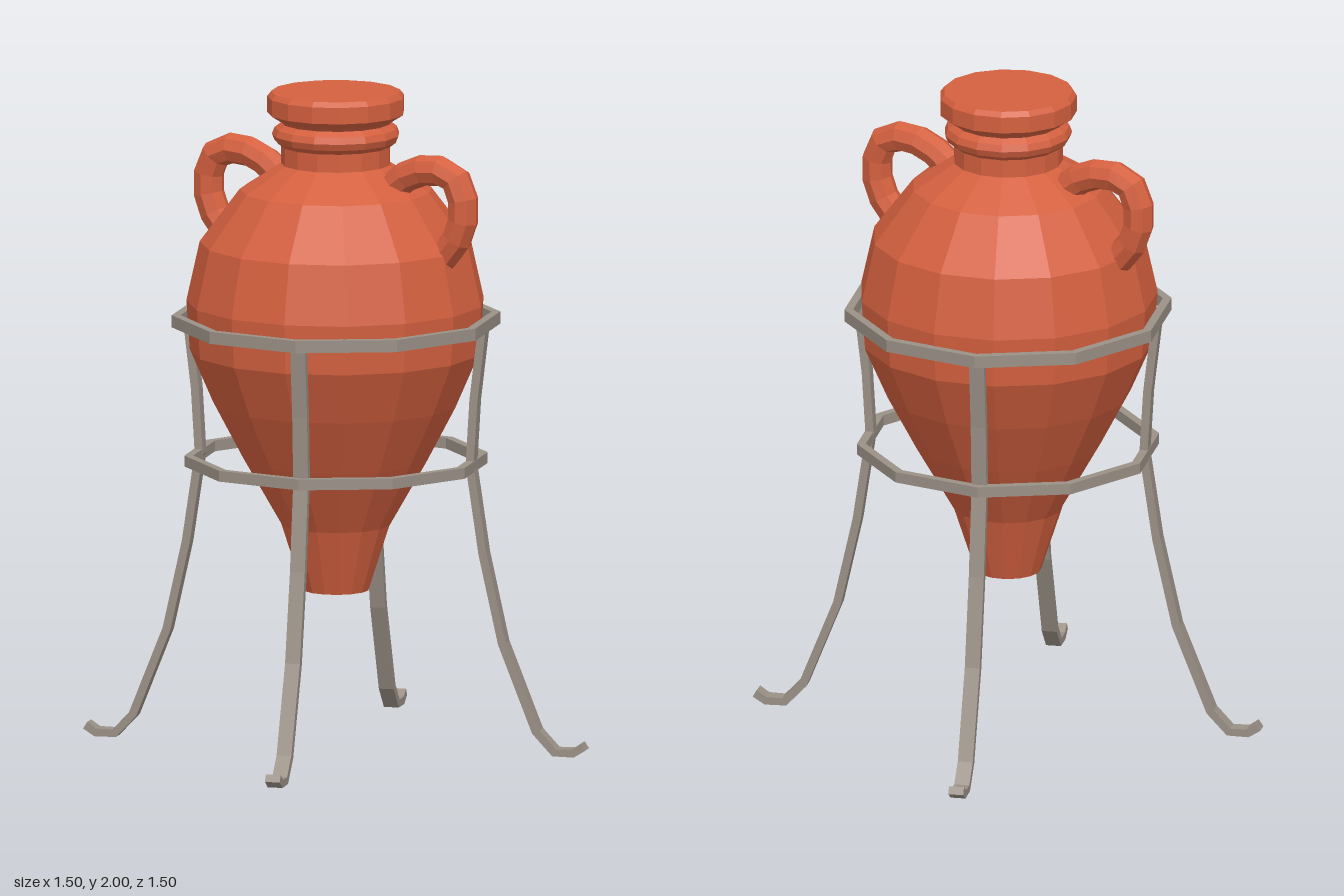
import * as THREE from 'three';

const clay = new THREE.MeshStandardMaterial({ color: 0xd4603f, flatShading: true });
const iron = new THREE.MeshStandardMaterial({ color: 0x9a9086, flatShading: true });

function addMesh(parent, name, geometry, material) {
  const mesh = new THREE.Mesh(geometry, material);
  mesh.name = name;
  parent.add(mesh);
  return mesh;
}

const toVectors = (list) => list.map(([x, y]) => new THREE.Vector2(x, y));

// Square-section hoop with ten straight sides
function hoopGeometry(radius, thickness, bottom, top) {
  const inner = radius - thickness;
  const section = toVectors([
    [inner, bottom], [radius, bottom], [radius, top], [inner, top], [inner, bottom],
  ]);
  return new THREE.LatheGeometry(section, 10, Math.PI / 2);
}

// Flat bar of even thickness following a side profile, centred on z = 0
function barGeometry(path, thickness, width) {
  const outer = [], inner = [];
  path.forEach((p, i) => {
    const before = path[Math.max(i - 1, 0)];
    const after = path[Math.min(i + 1, path.length - 1)];
    const t = after.clone().sub(before).normalize();
    const offset = new THREE.Vector2(-t.y, t.x).multiplyScalar(thickness / 2);
    outer.push(p.clone().add(offset));
    inner.unshift(p.clone().sub(offset));
  });
  const shape = new THREE.Shape([...outer, ...inner]);
  return new THREE.ExtrudeGeometry(shape, { depth: width, bevelEnabled: false })
    .translate(0, 0, -width / 2);
}

export function createModel() {
  const model = new THREE.Group();
  model.name = 'amphoraOnStand';

  // Jar body, collar and closed rim
  const jar = new THREE.Group();
  jar.name = 'jar';
  model.add(jar);
  const profile = toVectors([
    [0, 0.48], [0.1, 0.48], [0.165, 0.68], [0.28, 0.88], [0.37, 1.05],
    [0.44, 1.21], [0.45, 1.36], [0.41, 1.54], [0.29, 1.7], [0.165, 1.78],
    [0.165, 1.835], [0.185, 1.85], [0.193, 1.87], [0.185, 1.89], [0.165, 1.905],
    [0.175, 1.915], [0.207, 1.935], [0.207, 1.985], [0.195, 2], [0, 2],
  ]);
  addMesh(jar, 'jarBody', new THREE.LatheGeometry(profile, 15, Math.PI), clay);

  // Looped handles on both shoulders
  const loop = [
    [0.2, 1.725], [0.27, 1.775], [0.36, 1.793], [0.425, 1.77],
    [0.455, 1.685], [0.435, 1.6], [0.395, 1.545], [0.34, 1.5],
  ];
  for (const [name, side] of [['leftHandle', 1], ['rightHandle', -1]]) {
    const curve = new THREE.CatmullRomCurve3(
      loop.map(([x, y]) => new THREE.Vector3(side * x, y, 0)));
    addMesh(jar, name, new THREE.TubeGeometry(curve, 9, 0.047, 8), clay);
  }

  // Stand: two hoops and four splayed legs with upturned feet
  const stand = new THREE.Group();
  stand.name = 'stand';
  model.add(stand);
  addMesh(stand, 'upperHoop', hoopGeometry(0.495, 0.027, 1.285, 1.322), iron);
  addMesh(stand, 'lowerHoop', hoopGeometry(0.457, 0.027, 0.86, 0.893), iron);

  const legPath = toVectors([
    [0.458, 1.3], [0.432, 1.08], [0.42, 0.88], [0.46, 0.61], [0.52, 0.34],
    [0.625, 0.075], [0.682, 0.014], [0.74, 0.014], [0.772, 0.035],
  ]);
  const legGeometry = barGeometry(legPath, 0.025, 0.046);
  for (let i = 0; i < 4; i++) {
    const leg = addMesh(stand, 'leg' + (i + 1), legGeometry, iron);
    leg.rotation.y = Math.PI / 10 + i * Math.PI / 2;
  }
  return model;
}
